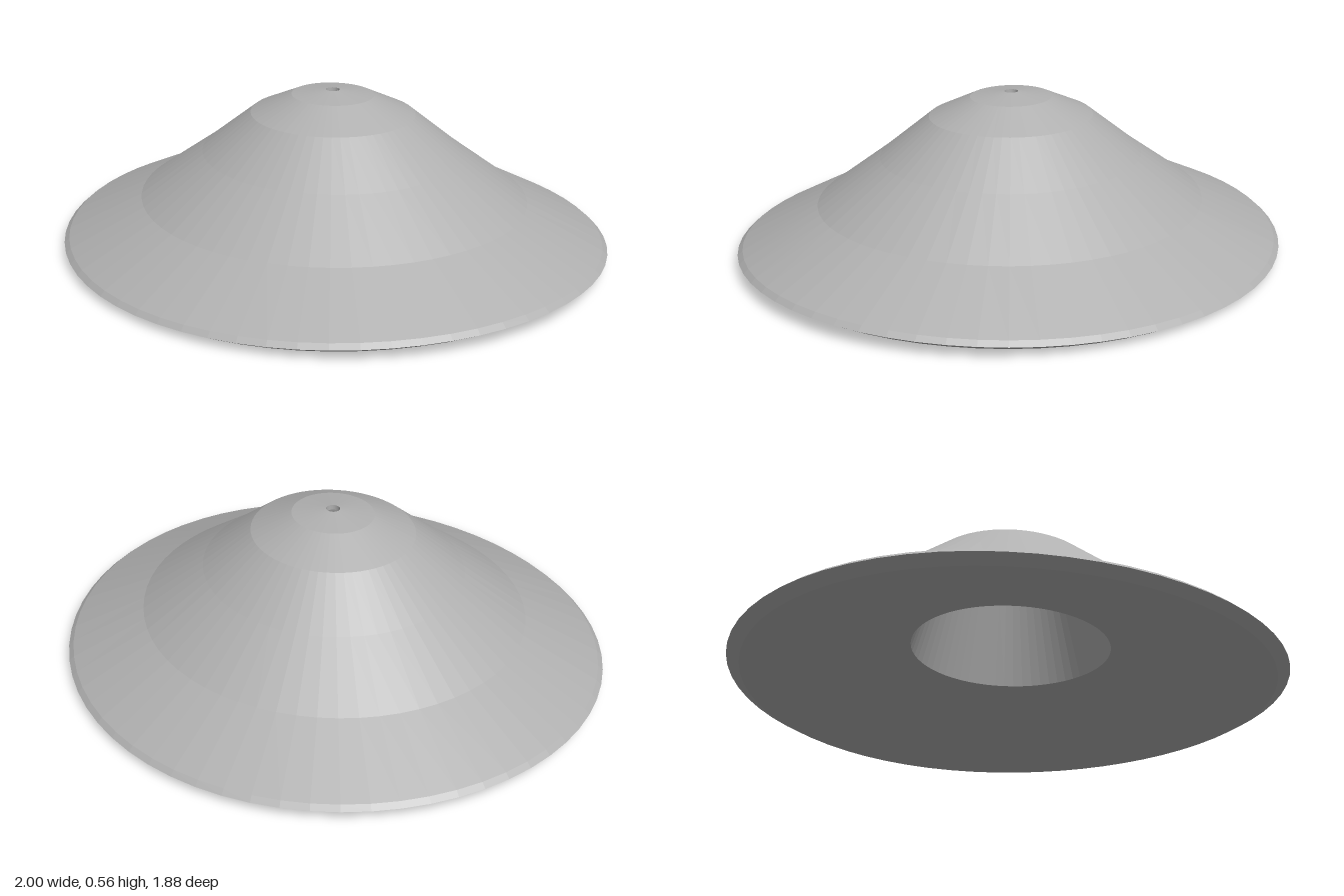
import * as THREE from 'three';

const SEGMENTS = 64;
const DEPTH = 0.94; // the hat is slightly oval
const SADDLE = 0.0125; // sides of the brim lift, front and back dip

// Revolve a profile, then squash it to an oval and bend the brim
function ovalShell(profile) {
  const geo = new THREE.LatheGeometry(profile.map(([r, y]) => new THREE.Vector2(r, y)), SEGMENTS);
  const pos = geo.attributes.position;
  for (let i = 0; i < pos.count; i++) {
    const x = pos.getX(i), z = pos.getZ(i);
    pos.setY(i, pos.getY(i) + SADDLE * (x * x - z * z));
    pos.setZ(i, z * DEPTH);
  }
  geo.computeVertexNormals();
  return geo;
}

export function createModel() {
  const hat = new THREE.Group();
  hat.name = 'conicalHat';
  const straw = new THREE.MeshStandardMaterial({ color: 0xb0b0b0, flatShading: true });
  straw.name = 'light grey';

  // Profiles run [radius, height], with the surface facing right of travel
  const parts = {
    crownLining: [[0.025, 0.545], [0.27, 0.46], [0.364, 0.16]],
    brimUnderside: [[0.364, 0.16], [0.955, 0.0125]],
    brimEdge: [[0.955, 0.0125], [1, 0.0375], [0.982, 0.053]],
    outerShell: [[0.982, 0.053], [0.71, 0.182], [0.48, 0.342], [0.3, 0.48], [0.15, 0.546], [0.025, 0.563]],
    ventHole: [[0.025, 0.563], [0.025, 0.545]],
  };
  for (const [name, profile] of Object.entries(parts)) {
    const mesh = new THREE.Mesh(ovalShell(profile), straw);
    mesh.name = name;
    hat.add(mesh);
  }
  return hat;
}
